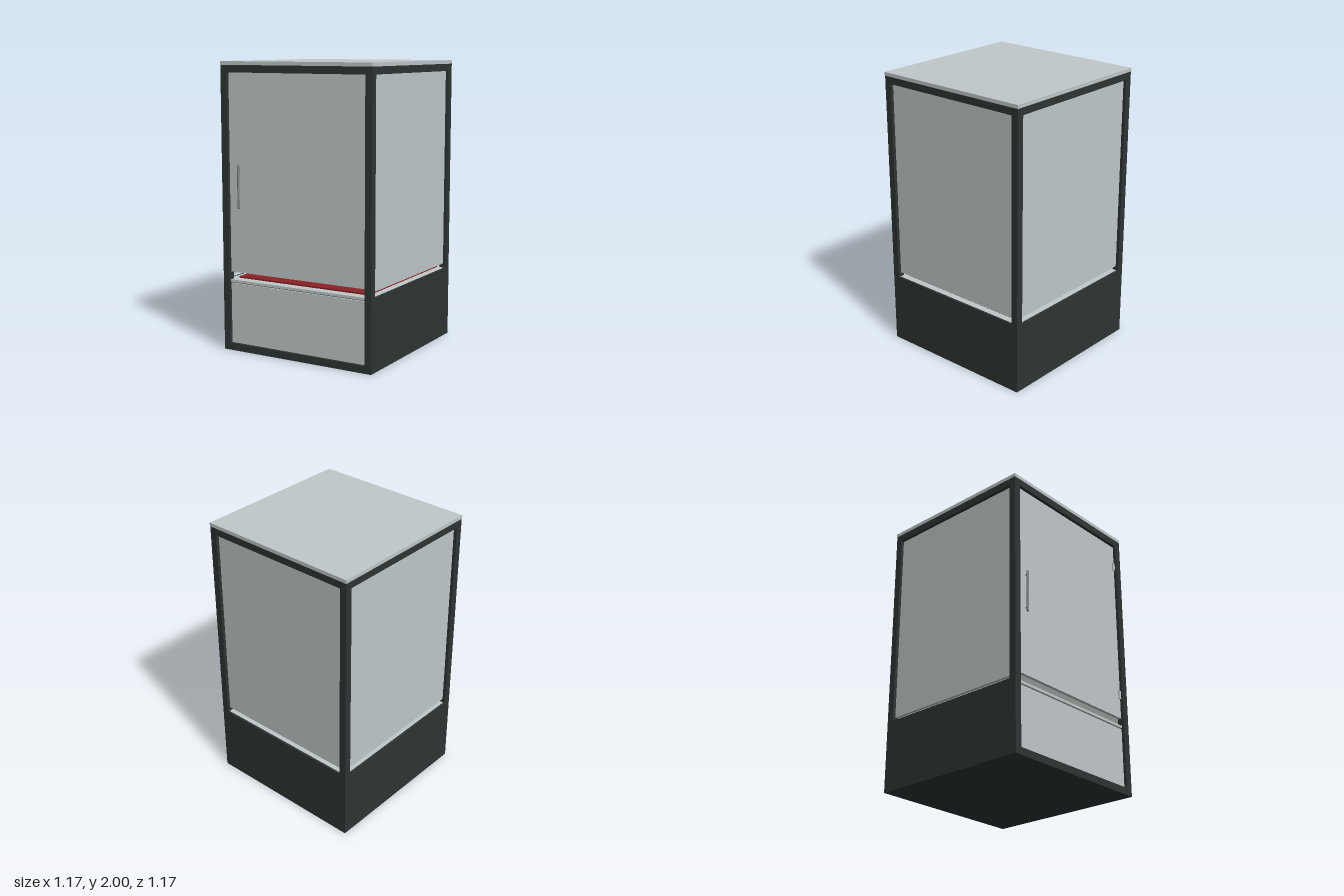
import * as THREE from 'three';

export function createModel() {
  const mat = (name, color, side = THREE.FrontSide) => {
    const m = new THREE.MeshStandardMaterial({ color, side });
    m.name = name;
    return m;
  };
  const dark = mat('charcoal frame', 0x2d3534);
  const glass = mat('pale glass', 0xc0c8c9);
  const steel = mat('brushed steel', 0x7d8384, THREE.DoubleSide);
  const red = mat('red mat', 0x8c2226);

  const group = new THREE.Group();
  const add = (name, geo, material, x, y, z) => {
    const m = new THREE.Mesh(geo, material);
    m.name = name;
    m.position.set(x, y, z);
    group.add(m);
    return m;
  };
  // Box given by its minimum and maximum on each axis
  const box = (name, material, [x0, x1], [y0, y1], [z0, z1]) =>
    add(name, new THREE.BoxGeometry(x1 - x0, y1 - y0, z1 - z0), material,
      (x0 + x1) / 2, (y0 + y1) / 2, (z0 + z1) / 2);

  const H = 0.585, T = 0.05, I = H - T; // outer half width, post size, inner half width

  // Corner posts and upper rails
  for (const s of [-1, 1]) {
    for (const t of [-1, 1]) {
      add('cornerPost', new THREE.BoxGeometry(T, 1.975, T), dark, s * (H - T / 2), 0.9875, t * (H - T / 2));
    }
    add('topRailSide', new THREE.BoxGeometry(T, T, 2 * I), dark, s * (H - T / 2), 1.95, 0);
    add('topRail', new THREE.BoxGeometry(2 * I, T, T), dark, 0, 1.95, s * (H - T / 2));
  }

  // Roof
  box('roofPanel', glass, [-0.587, 0.587], [1.975, 2], [-0.587, 0.587]);

  // Closed base
  box('baseBottom', dark, [-I, I], [0, T], [-I, H]);
  box('baseBottomEdgeBack', dark, [-I, I], [0, 0.5], [-H, -H + 0.015]);
  for (const s of [-1, 1]) {
    add('baseSide', new THREE.BoxGeometry(0.015, 0.5, 2 * I), dark, s * (H - 0.0075), 0.25, 0);
    add('baseBottomEdge', new THREE.BoxGeometry(T - 0.015, T, 2 * I), dark, s * (H - 0.015 - (T - 0.015) / 2), T / 2, 0);
  }
  box('baseBottomEdgeRear', dark, [-I, I], [0, T], [-H + 0.015, -I]);

  // Floor of the display space
  box('floorPanel', glass, [-0.57, 0.57], [0.482, 0.5], [-0.57, 0.568]);
  box('floorSupport', dark, [-I, I], [0.472, 0.482], [-0.5, 0.55]);

  // Glazing, set back in the frame with a gap above the floor
  const G0 = 0.54, G1 = 0.563;
  for (const s of [-1, 1]) {
    add('sideGlass', new THREE.BoxGeometry(G1 - G0, 1.4, 2 * I + 0.004), glass, s * (G0 + G1) / 2, 1.23, 0);
  }
  box('backGlass', glass, [-I, I], [0.53, 1.93], [-G1, -G0]);
  box('glassDoor', glass, [-I, I], [0.555, 1.925], [G0, G1]);
  box('lowerFrontPanel', glass, [-I, I], [0.05, 0.474], [G0, G1]);

  // Door hinges
  for (const y of [0.728, 1.753]) {
    box('doorHinge', glass, [0.515, I], [y - 0.03, y + 0.03], [G1, G1 + 0.01]);
  }

  // Door handle with two stand-offs
  add('doorHandle', new THREE.CapsuleGeometry(0.008, 0.289, 4, 12), steel, -0.455, 1.1525, 0.577);
  for (const y of [1.03, 1.275]) {
    const peg = add('handlePeg', new THREE.CylinderGeometry(0.005, 0.005, 0.016, 10), steel, -0.455, y, 0.569);
    peg.rotation.x = Math.PI / 2;
  }

  // Mat and the dishes standing on it
  box('floorMat', red, [-0.5, 0.53], [0.506, 0.517], [-0.5, 0.52]);
  const dish = (name, points, x, z) => add(name, new THREE.LatheGeometry(
    points.map(([r, y]) => new THREE.Vector2(r, y)), 40), steel, x, 0.517, z);
  dish('wideBowl', [[0, 0], [0.185, 0], [0.205, 0.05], [0.198, 0.05], [0.178, 0.008], [0, 0.008]], 0.03, 0.02);
  dish('smallCup', [[0, 0], [0.06, 0], [0.06, 0.05], [0.054, 0.05], [0.054, 0.008], [0, 0.008]], 0.37, -0.35);

  // Thin stem through the floor in the back corner
  add('stem', new THREE.CylinderGeometry(0.005, 0.005, 0.08, 12), steel, 0.473, 0.517, -0.475);
  add('stemCollar', new THREE.CylinderGeometry(0.012, 0.012, 0.01, 16), steel, 0.473, 0.505, -0.475);

  return group;
}
